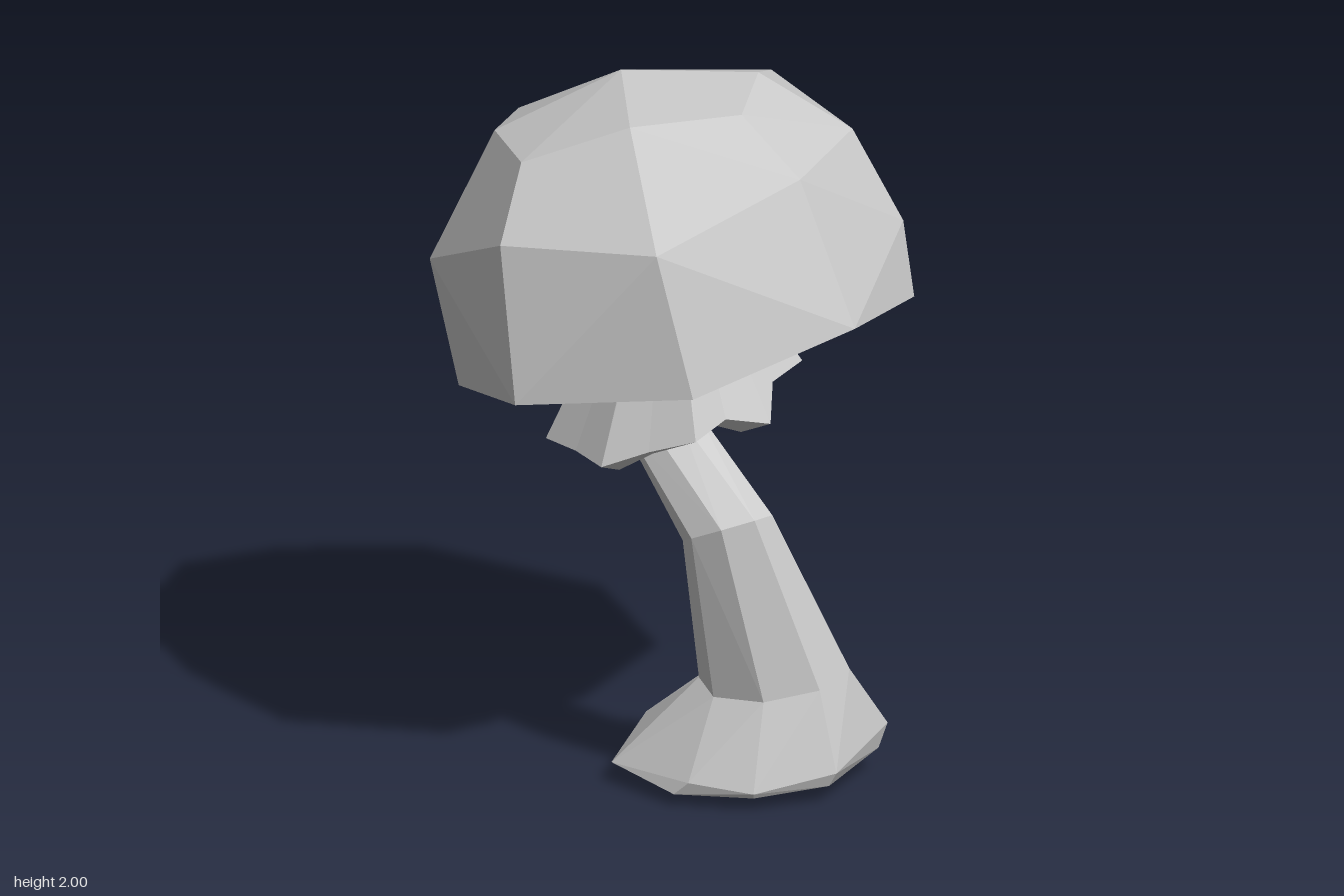
import * as THREE from 'three';

// Skin a list of rings (clockwise seen from above, ordered inside/below to outside/top),
// folding each quad along its outward diagonal
function skin(rings, extra = []) {
  const pos = [];
  const n = rings[0].length;
  const tri = (a, b, c) => pos.push(...a, ...b, ...c);
  const from = (a, b) => new THREE.Vector3(b[0] - a[0], b[1] - a[1], b[2] - a[2]);
  for (let r = 0; r < rings.length - 1; r++) {
    for (let i = 0; i < n; i++) {
      const j = (i + 1) % n;
      const l0 = rings[r][i], l1 = rings[r][j], u0 = rings[r + 1][i], u1 = rings[r + 1][j];
      const bulge = from(l1, l0).cross(from(l1, u0)).dot(from(l1, u1));
      if (bulge > 0) {
        tri(l1, l0, u1);
        tri(l0, u0, u1);
      } else {
        tri(l1, l0, u0);
        tri(l1, u0, u1);
      }
    }
  }
  extra.forEach((t) => tri(...t));
  const g = new THREE.BufferGeometry();
  g.setAttribute('position', new THREE.Float32BufferAttribute(pos, 3));
  g.computeVertexNormals();
  return g;
}

// Tilted elliptical ring, starting at the back
function ellipse(n, [cx, cy, cz], rx, rz, tiltX = 0, tiltZ = 0, turn = 0) {
  return Array.from({ length: n }, (_, i) => {
    const a = (i / n) * Math.PI * 2 + turn;
    const x = Math.sin(a) * rx, z = -Math.cos(a) * rz;
    return [cx + x, cy + x * tiltX + z * tiltZ, cz + z];
  });
}

// Shrink a ring towards an axis and lift it
const shrink = (ring, k, lift, cx = 0, cz = 0) =>
  ring.map(([x, y, z]) => [cx + (x - cx) * k, y + lift, cz + (z - cz) * k]);

export function createModel() {
  const model = new THREE.Group();
  const grey = new THREE.MeshStandardMaterial({ color: 0xcccccc, flatShading: true });
  grey.name = 'plain grey';
  const add = (name, geometry) => {
    const m = new THREE.Mesh(geometry, grey);
    m.name = name;
    model.add(m);
  };

  // Cap: faceted octagonal dome with a hollow underside
  const rim = [
    [-0.05, 1.15, -0.62], [0.5, 1.32, -0.48], [0.67, 1.36, 0.01], [0.5, 1.44, 0.48],
    [0.05, 1.3, 0.66], [-0.44, 1.23, 0.51], [-0.59, 1.1, 0], [-0.44, 1.1, -0.44],
  ];
  const middle = [
    [-0.05, 1.53, -0.66], [0.39, 1.59, -0.465], [0.64, 1.57, -0.03], [0.35, 1.84, 0.37],
    [-0.05, 1.7, 0.6], [-0.48, 1.66, 0.4], [-0.67, 1.47, -0.01], [-0.48, 1.53, -0.45],
  ];
  const upper = [
    [-0.12, 1.84, -0.45], [0.28, 1.86, -0.45], [0.5, 1.83, -0.06], [0.19, 1.98, 0.23],
    [-0.12, 1.97, 0.3], [-0.42, 1.85, 0.25], [-0.49, 1.83, -0.06], [-0.42, 1.78, -0.37],
  ];
  const lip = shrink(rim, 0.9, 0.01);
  const hollow = shrink(rim, 0.66, 0.32);
  const roof = rim.map(() => [0, 1.7, 0]);
  const [A, B, C, D, E, F, G, H] = upper;
  const t1 = [-0.14, 2, -0.08], t2 = [0.24, 1.99, -0.08];
  add('cap', skin([roof, hollow, lip, rim, middle, upper], [
    [t1, t2, B], [t1, B, A], [t2, C, B], [t2, D, C], [t1, D, t2], [t1, E, D],
    [t1, F, E], [t1, G, F], [t1, H, G], [t1, A, H],
  ]));

  // Skirt: pleated cone under the cap with a folded hem, more ragged on its left
  const points = [
    [0, 1.08, -0.25], [0.24, 1.09, -0.11], [0.36, 1.18, 0.03], [0.27, 1.06, 0.21],
    [0.06, 1.1, 0.46], [-0.2, 0.99, 0.36], [-0.35, 0.98, 0.1], [-0.24, 0.97, -0.23],
  ];
  const hem = points.flatMap((p, i) => {
    const q = points[(i + 1) % points.length];
    const mid = p.map((v, k) => (v + q[k]) / 2);
    const [notch] = mid[0] > 0.05
      ? shrink([mid], 0.88, 0.03, 0, 0.1)
      : shrink([mid], 0.98, 0.005, 0, 0.1);
    return [p, notch];
  });
  const fold = shrink(hem, 0.72, -0.035, -0.02, 0.1);
  const tuck = shrink(hem, 0.4, 0.12, -0.04, 0.1);
  const neck = ellipse(16, [0, 1.66, 0.03], 0.03, 0.03);
  add('skirt', skin([tuck, fold, hem, neck]));

  // Stem: bent, spreading into a wide uneven foot
  const sole = [
    [0.2, 0.04, -0.19], [0.42, 0, 0.01], [0.57, 0.07, 0.12], [0.43, 0.05, 0.37],
    [0.22, 0.04, 0.44], [0, 0.035, 0.39], [-0.14, 0.04, 0.18], [-0.05, 0.05, -0.1],
  ];
  const foot = [
    [0.22, 0.12, -0.21], [0.48, 0.12, -0.13], [0.595, 0.14, 0.11], [0.45, 0.09, 0.38],
    [0.22, 0.055, 0.45], [0.04, 0.075, 0.41], [-0.17, 0.06, 0.2], [-0.07, 0.09, -0.12],
  ];
  add('stem', skin([
    sole.map(() => [0.21, 0.03, 0.13]),
    sole,
    foot,
    ellipse(8, [0.28, 0.32, 0.195], 0.21, 0.18, 0.12, -0.1, 0.15),
    ellipse(8, [0.15, 0.78, 0.28], 0.125, 0.105, 0.3, 0.35, 0.15),
    ellipse(8, [-0.04, 1.04, 0.09], 0.1, 0.09, 0.35, 0, 0.15),
    ellipse(8, [-0.02, 1.5, 0.04], 0.07, 0.07, 0, 0, 0.15),
  ]));
  return model;
}
